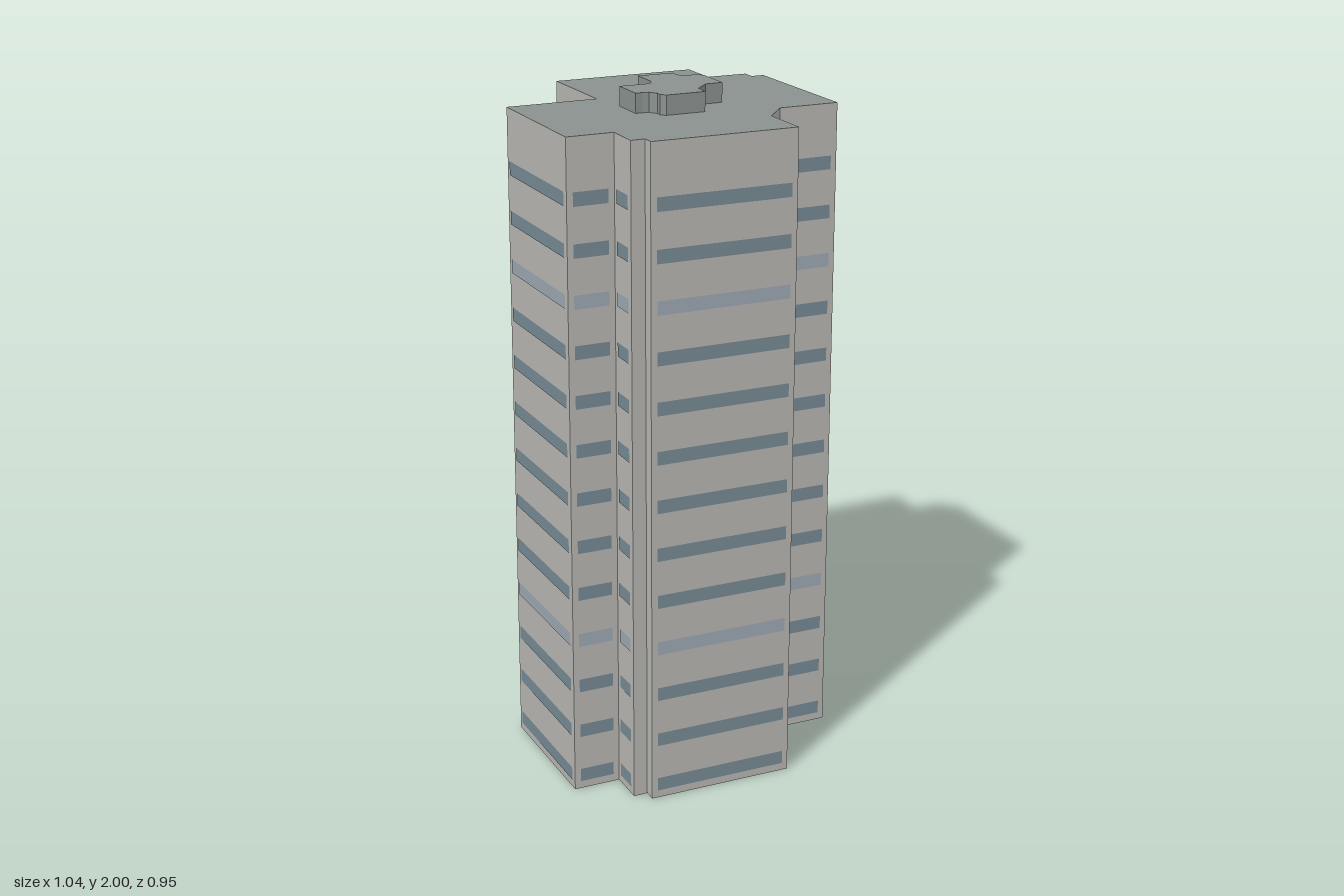
import * as THREE from 'three';
import { mergeGeometries } from 'three/addons/utils/BufferGeometryUtils.js';

const ROOF_Y = 1.943, TOP_Y = 2;
const ROWS = 13, FIRST_ROW = 0.043, ROW_STEP = 0.144, PANE_H = 0.04;

// Tower footprint: x, z, and number of window panes on the wall that starts here
const FOOTPRINT = [
  [0.052, -0.475, 1], [0.447, -0.285, 1], [0.389, -0.165, 1], [0.5, -0.11, 0],
  [0.483, -0.071, 0], [0.517, -0.054, 2], [0.317, 0.36, 1], [0.151, 0.28, 1],
  [0.049, 0.326, 1], [-0.023, 0.473, 1], [-0.42, 0.279, 0], [-0.403, 0.246, 0],
  [-0.442, 0.229, 1], [-0.392, 0.129, 1], [-0.519, 0.068, 1], [-0.325, -0.326, 1],
  [-0.076, -0.207, 1],
];

// Rooftop plant room, with scooped inner corners
const PLANT_ROOM = [
  [0.037, -0.146], [0.137, -0.098], [0.127, -0.08], [0.123, -0.064], [0.132, -0.043],
  [0.159, -0.03], [0.167, -0.007], [0.112, 0.104], [0.062, 0.082], [0.026, 0.096],
  [-0.001, 0.107], [-0.023, 0.149], [-0.131, 0.098], [-0.137, 0.079], [-0.127, 0.062],
  [-0.131, 0.035], [-0.145, 0.024], [-0.165, 0.015], [-0.115, -0.087], [-0.043, -0.051],
  [-0.03, -0.049], [-0.018, -0.051], [-0.001, -0.068],
];

const material = (color, side = THREE.FrontSide) => new THREE.MeshStandardMaterial({ color, side });

// Upright rectangle on the line p to q, between distances a and b, pushed out by lift
function panel(p, q, a, b, y0, y1, lift = 0) {
  const len = Math.hypot(q[0] - p[0], q[1] - p[1]);
  const dx = (q[0] - p[0]) / len, dz = (q[1] - p[1]) / len, mid = (a + b) / 2;
  const g = new THREE.PlaneGeometry(b - a, y1 - y0);
  g.rotateY(Math.atan2(dz, -dx));
  return g.translate(p[0] + dx * mid + dz * lift, (y0 + y1) / 2, p[1] + dz * mid - dx * lift);
}

const edges = (pts) => pts.map((p, i) => {
  const q = pts[(i + 1) % pts.length];
  return { p, q, len: Math.hypot(q[0] - p[0], q[1] - p[1]) };
});

const wallGeometry = (pts, y0, y1) =>
  mergeGeometries(edges(pts).map(({ p, q, len }) => panel(p, q, 0, len, y0, y1)));

function capGeometry(pts, y) {
  const shape = new THREE.Shape(pts.map(([x, z]) => new THREE.Vector2(x, -z)));
  return new THREE.ShapeGeometry(shape).rotateX(-Math.PI / 2).translate(0, y, 0);
}

export function createModel() {
  const model = new THREE.Group();
  model.name = 'apartmentTower';
  const add = (name, geometry, mat) => {
    const mesh = new THREE.Mesh(geometry, mat);
    mesh.name = name;
    model.add(mesh);
  };

  // Walls are a shell, open underneath
  const roofMat = material(0x8a918e, THREE.DoubleSide);
  add('walls', wallGeometry(FOOTPRINT, 0, ROOF_Y), material(0xb6b5b1, THREE.DoubleSide));
  add('roof', capGeometry(FOOTPRINT, ROOF_Y), roofMat);
  add('plantRoomWalls', wallGeometry(PLANT_ROOM, ROOF_Y, TOP_Y), roofMat);
  add('plantRoomRoof', capGeometry(PLANT_ROOM, TOP_Y), roofMat);

  // Window bands: two floors are paler, one pane column reverses the pattern
  const dark = [], pale = [];
  const margin = 0.018, gap = 0.01;
  for (const { p, q, len } of edges(FOOTPRINT)) {
    const panes = p[2];
    const width = (len - 2 * margin - (panes - 1) * gap) / panes;
    for (let i = 0; i < panes; i++) {
      const a = margin + i * (width + gap);
      for (let row = 0; row < ROWS; row++) {
        const y = FIRST_ROW + row * ROW_STEP;
        const isPale = i === 1 ? row === 6 : row === 3 || row === 10;
        (isPale ? pale : dark).push(panel(p, q, a, a + width, y - PANE_H / 2, y + PANE_H / 2, 0.0015));
      }
    }
  }
  add('darkWindows', mergeGeometries(dark), material(0x768993));
  add('paleWindows', mergeGeometries(pale), material(0x9ca6b2));
  return model;
}
